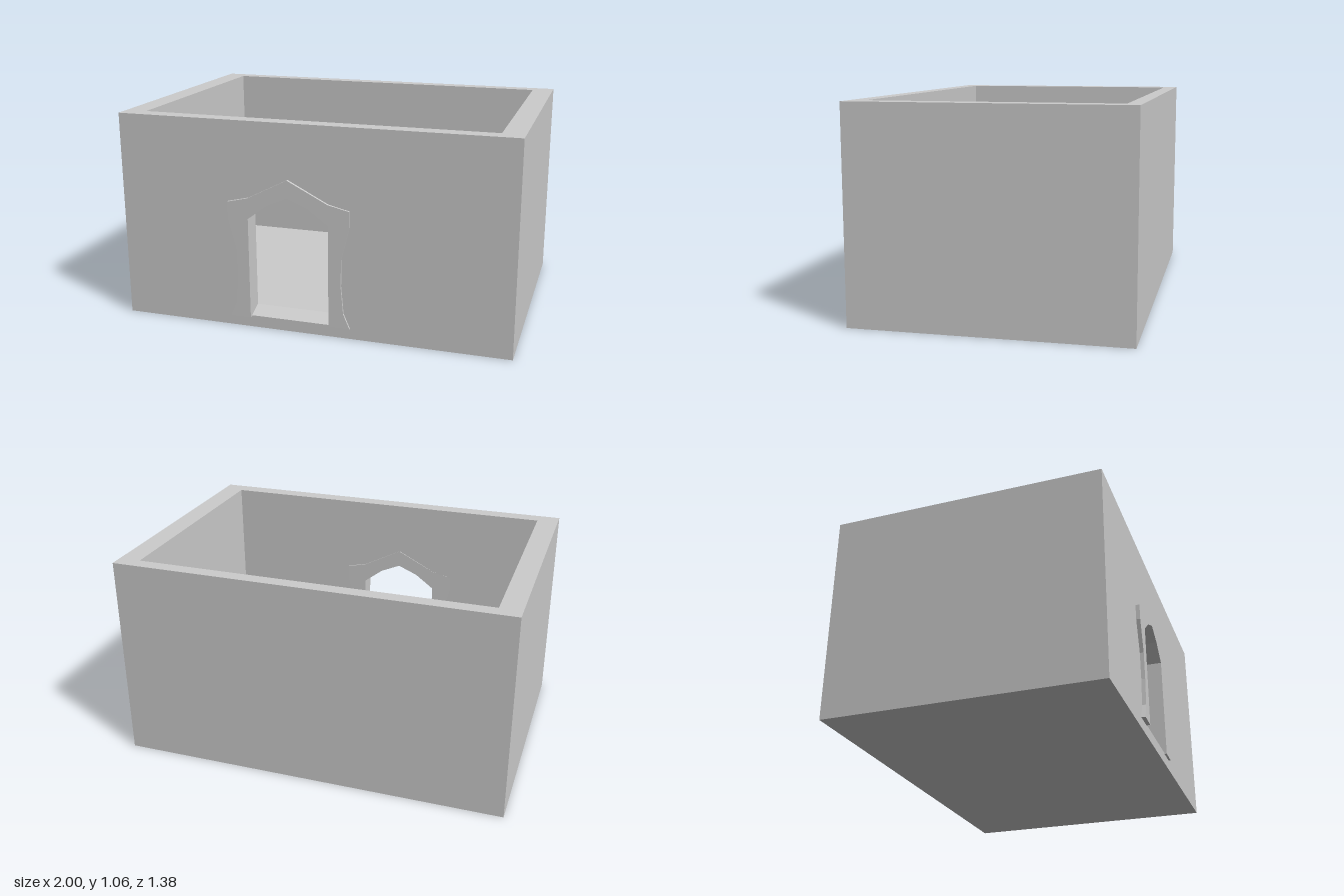
import * as THREE from 'three';

const material = new THREE.MeshStandardMaterial({ color: 0xcccccc, flatShading: true });
const points = list => list.map(([x, y]) => new THREE.Vector2(x, y));

function extrude(shape, depth) {
  return new THREE.ExtrudeGeometry(shape, { depth, bevelEnabled: false });
}

export function createModel() {
  const group = new THREE.Group();
  const add = (name, geometry, x = 0, y = 0, z = 0) => {
    const mesh = new THREE.Mesh(geometry, material);
    mesh.name = name;
    mesh.position.set(x, y, z);
    group.add(mesh);
    return mesh;
  };

  const height = 1.06, front = 0.67, back = -0.69;
  const inX = 0.89, inFront = 0.59, inBack = -0.62, floorTop = 0.09;
  const doorX = -0.11, doorBottom = 0.055;

  // Side and back walls: a U-shaped plan raised to full height
  const plan = new THREE.Shape(points([
    [-1, -front], [-inX, -front], [-inX, -inBack], [inX, -inBack],
    [inX, -front], [1, -front], [1, -back], [-1, -back],
  ]));
  add('sideAndBackWalls', extrude(plan, height).rotateX(-Math.PI / 2));

  // Front wall with an arched doorway
  const wall = new THREE.Shape(points([[-inX, 0], [inX, 0], [inX, height], [-inX, height]]));
  wall.holes.push(new THREE.Path(points([
    [-0.32, doorBottom], [-0.32, 0.585], [-0.21, 0.66], [doorX, 0.705],
    [-0.01, 0.66], [0.105, 0.585], [0.105, doorBottom],
  ])));
  add('frontWall', extrude(wall, front - inFront), 0, 0, inFront);

  // Floor slab inside the walls
  add('floor', new THREE.BoxGeometry(2 * inX, floorTop, inFront - inBack),
    0, floorTop / 2, (inFront + inBack) / 2);

  // Sloping sill rising from the threshold to the floor
  const sill = new THREE.Shape(points([
    [-front, doorBottom], [-inFront, doorBottom], [-inFront, floorTop], [-front, 0.06],
  ]));
  add('doorSill', extrude(sill, 0.42).rotateY(Math.PI / 2), doorX - 0.21);

  // Door surround with waisted jambs and a peaked head, half outline mirrored
  const half = [
    [0.205, doorBottom], [0.205, 0.575], [0.105, 0.65], [0, 0.695],
  ];
  const outer = [
    [0.312, doorBottom], [0.28, 0.13], [0.268, 0.27], [0.27, 0.41],
    [0.312, 0.575], [0.312, 0.655], [0.205, 0.68], [0, 0.785],
  ];
  const mirror = list => list.slice(0, -1).map(([x, y]) => [-x, y]);
  const outline = [
    ...outer, ...mirror(outer).reverse(),
    ...mirror(half), ...[...half].reverse(),
  ];
  const surround = extrude(new THREE.Shape(points(outline)), 0.1);
  add('doorSurround', surround, doorX, 0, 0.585).rotation.y = 0.016;

  return group;
}
